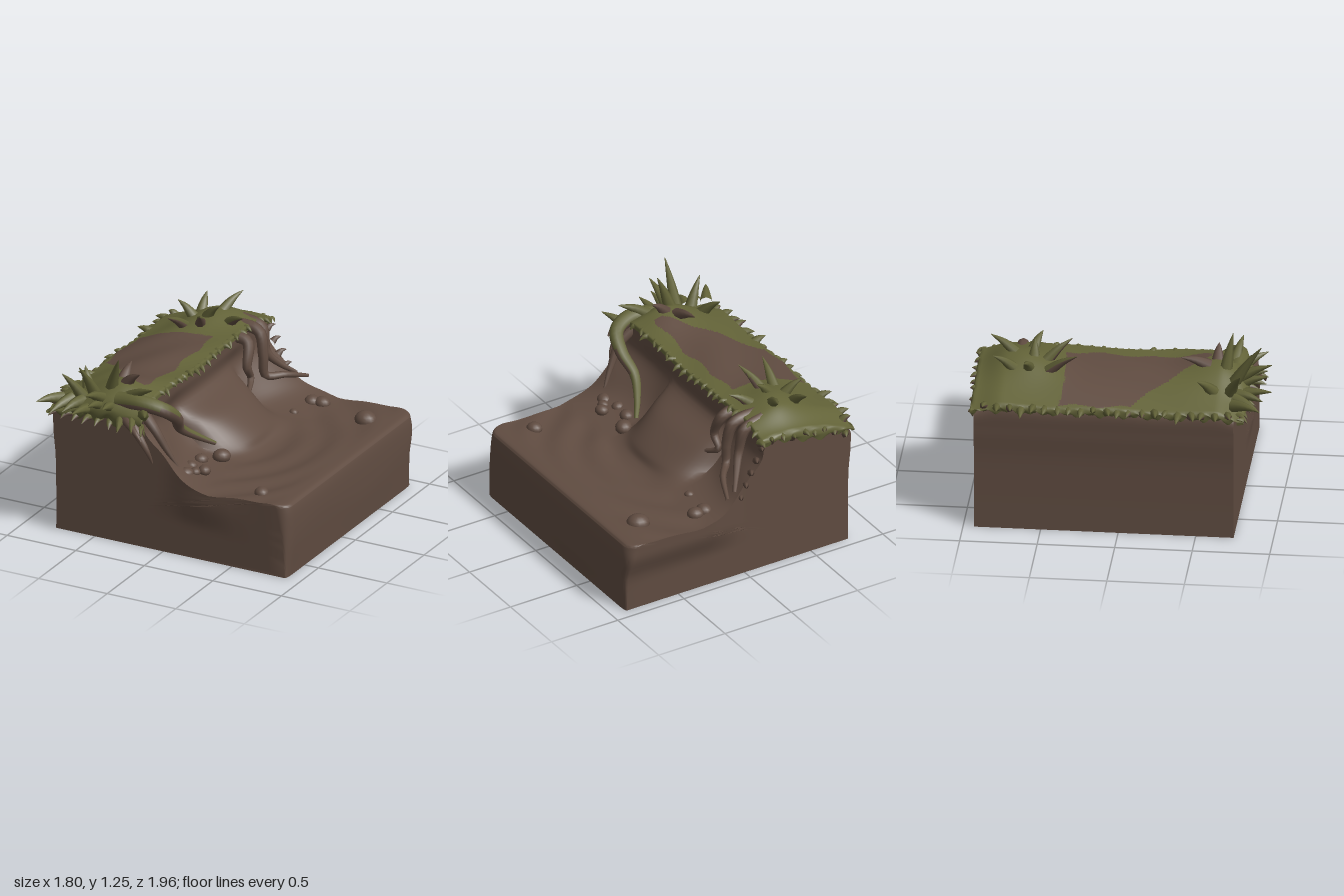
import * as THREE from 'three';
import { toCreasedNormals } from 'three/addons/utils/BufferGeometryUtils.js';

const V = (x, y, z) => new THREE.Vector3(x, y, z);
const { smoothstep, lerp, clamp } = THREE.MathUtils;

export function createModel() {
  const group = new THREE.Group();
  const material = (name, color, side = THREE.FrontSide) => {
    const m = new THREE.MeshStandardMaterial({ color, side });
    m.name = name;
    return m;
  };
  const earth = material('earth brown', 0x604c41);
  const moss = material('moss green', 0x636338);
  const earthSheet = material('earth brown sheet', 0x604c41, THREE.DoubleSide);
  const mossSheet = material('moss green sheet', 0x636338, THREE.DoubleSide);

  let seed = 7;
  const rand = () => (seed = (seed * 16807) % 2147483647) / 2147483647;
  const vary = (a, b) => a + (b - a) * rand();
  const add = (name, geo, mat) => {
    const mesh = new THREE.Mesh(geo, mat);
    mesh.name = name;
    group.add(mesh);
    return mesh;
  };

  // Height of the upper ledge: rises to the cliff, swells at both ends
  const ledge = (x, z) => {
    let y = 0.88 + 0.125 * Math.sin(clamp((x + 0.82) / 0.5, 0, 1) * Math.PI / 2);
    const swell = (cx, cz) => 0.06 * Math.exp(-((x - cx) ** 2 + (z - cz) ** 2) / 0.05);
    y += swell(-0.4, 0.6) + swell(-0.38, -0.65);
    y -= 0.05 * smoothstep(z, 0.62, 0.8) + 0.05 * smoothstep(-z, 0.75, 0.95);
    return y + 0.006 * Math.sin(x * 13 + z * 9);
  };

  // Split faces of a geometry into two material groups by a rule
  const paint = (geo, rule) => {
    const p = geo.attributes.position, src = geo.index.array, sets = [[], []];
    const a = V(), b = V(), c = V(), n = V();
    for (let i = 0; i < src.length; i += 3) {
      a.fromBufferAttribute(p, src[i]);
      b.fromBufferAttribute(p, src[i + 1]);
      c.fromBufferAttribute(p, src[i + 2]);
      n.copy(c).sub(b).cross(a.clone().sub(b)).normalize();
      sets[rule(a.add(b).add(c).divideScalar(3), n) ? 1 : 0].push(src[i], src[i + 1], src[i + 2]);
    }
    geo.setIndex([...sets[0], ...sets[1]]);
    geo.clearGroups();
    geo.addGroup(0, sets[0].length, 0);
    geo.addGroup(sets[0].length, sets[1].length, 1);
  };

  // Earth block: cross-sections in x and y lofted along z; shrinking rings close both ends
  const zBack = -0.93, zFront = 0.745, rows = 72, cols = 110, rings = 10;
  const pos = [], idx = [];
  for (let j = -rings; j <= rows + rings; j++) {
    const t = 0.5 - 0.5 * Math.cos(Math.PI * clamp(j / rows, 0, 1));
    const scale = 1 - Math.max(0, -j, j - rows) / rings;
    const z = lerp(zBack, zFront, t);
    const w = smoothstep(z, -0.9, -0.45) * (1 - smoothstep(z, 0.3, 0.72));
    const mound = Math.max(0, 1 - ((z + 0.12) / 0.38) ** 2) ** 0.6;
    const top = x => ledge(x, z) - 0.022;
    const d = Math.min(z - zBack, zFront - z), r = 0.08;
    const corner = d < r ? r - Math.sqrt(r * r - (r - d) ** 2) : 0;
    const right = 0.905 - corner;
    const wob = 0.012 * Math.sin(z * 9);
    const path = new THREE.CatmullRomCurve3([
      [-0.78, 0], [-0.78, 0.3], [-0.785, 0.52], [-0.8, 0.7], [-0.79, top(-0.79)],
      [-0.6, top(-0.6)], [-0.38, top(-0.38)], [-0.16, top(-0.16)],
      [-0.15, 0.92], [lerp(-0.13, -0.18, w) + 0.03 * mound, 0.8],
      [lerp(-0.01, -0.13, w) + wob + 0.21 * mound, 0.68], [lerp(0.12, 0, w) + wob + 0.25 * mound, 0.55],
      [0.29, 0.485], [0.55, 0.48], [right - 0.08, 0.5], [right - 0.012, 0.49], [right, 0.46],
      [right + 0.01 + corner * 0.4, 0.28 + 0.05 * Math.sin(z * 5)], [0.9 - corner * 0.15, 0]
    ].map(q => V(q[0], q[1], 0)), false, 'centripetal');
    for (let i = 0; i < cols; i++) {
      const q = path.getPoint(i / (cols - 1));
      const ripple = smoothstep(q.x, 0.27, 0.36) * smoothstep(q.y, 0.44, 0.48) * (1 - smoothstep(q.x, 0.7, 0.82));
      q.y += 0.008 * Math.sin(Math.hypot(q.x + 0.05, z + 0.1) * 26) * ripple;
      const x = lerp(-0.3, q.x, scale), y = lerp(0.25, Math.max(0, q.y), scale);
      const flare = smoothstep(x, 0, 0.25) * smoothstep(y, 0.2, 0.42);
      const dz = -0.055 * flare * smoothstep(-z, 0.6, 0.93)
        + 0.03 * flare * smoothstep(z, 0.5, 0.745) * (1 - smoothstep(x, 0.3, 0.6));
      pos.push(x, y, z + dz);
    }
  }
  for (let j = 0; j < rows + 2 * rings; j++) for (let i = 0; i < cols; i++) {
    const a = j * cols + i, b = j * cols + (i + 1) % cols, c = a + cols, e = b + cols;
    idx.push(a, c, b, b, c, e);
  }
  const block = new THREE.BufferGeometry();
  block.setAttribute('position', new THREE.Float32BufferAttribute(pos, 3));
  block.setIndex(idx);
  add('earthBlock', toCreasedNormals(block, 0.7), earth);

  // Turf sheet draped over the ledge, with a bare earth patch
  const X0 = -0.803, X1 = -0.125, Z0 = -0.942, Z1 = 0.765, hang = 0.09;
  const turf = new THREE.PlaneGeometry(1, 1, 70, 120).rotateX(-Math.PI / 2);
  const tp = turf.attributes.position;
  for (let i = 0; i < tp.count; i++) {
    const px = lerp(X0 - hang, X1 + 0.04, tp.getX(i) + 0.5);
    const pz = lerp(Z0 - hang, Z1 + hang, tp.getZ(i) + 0.5);
    const x = clamp(px, X0, X1), z = clamp(pz, Z0, Z1);
    const side = clamp(Math.max(X0 - px, Math.abs(pz - z)) / hang, 0, 1);
    const hem = 0.835 + 0.025 * Math.sin(px * 47 + pz * 61) * Math.sin(pz * 23 + 1)
      + (pz < Z0 ? 0.08 * smoothstep(x, -0.6, -0.2) : 0);
    const bulge = 0.05 * Math.sin(Math.PI * side);
    const y = lerp(ledge(x, z), hem, side) - Math.max(0, px - X1) * 0.8;
    tp.setXYZ(i, x - (px < X0 ? 0.25 * bulge : 0), y, z + Math.sign(pz - z) * bulge * (z > 0 ? 1 : 0.25));
  }
  paint(turf, ({ x, z }) => {
    const n = 0.014 * Math.sin(z * 19 + x * 7);
    const bare = x > -0.785 + n && x < -0.24 + n && z > -0.38 + n && z < Math.min(0.55, 0.05 + x + 0.79) + n;
    return !bare;
  });
  turf.computeVertexNormals();
  add('turf', turf, [earthSheet, mossSheet]);

  // Tapered limb along a curve; only upward faces are green when mossy
  const limb = (name, pts, r0, r1, kind = 'mossy', seg = 16, sides = 8) => {
    const path = new THREE.CatmullRomCurve3(pts.map(q => V(...q)));
    const geo = new THREE.TubeGeometry(path, seg, 1, sides);
    const p = geo.attributes.position, v = V();
    for (let i = 0; i < p.count; i++) {
      const t = Math.floor(i / (sides + 1)) / seg, c = path.getPointAt(t);
      v.fromBufferAttribute(p, i).sub(c).multiplyScalar(lerp(r0, r1, t ** 1.4)).add(c);
      p.setXYZ(i, v.x, v.y, v.z);
    }
    if (kind === 'mossy') paint(geo, (c, n) => n.y > 0.2);
    add(name, geo, kind === 'mossy' ? [earth, moss] : kind === 'moss' ? moss : earth);
  };
  const spike = (x, y, z, dx, dy, dz, r = 0.028, kind = 'moss') => limb('spike',
    [[x, y, z], [x + dx * 0.5, y + dy * 0.5 + 0.012, z + dz * 0.5], [x + dx, y + dy, z + dz]], r, 0.002, kind, 6, 7);

  // Fringe of spikes around the turf edge
  for (let z = -0.86; z < 0.76; z += 0.078) {
    spike(X0 + 0.03, 0.855, z, -vary(0.06, 0.12), vary(-0.03, 0.03), vary(-0.03, 0.03), 0.036, rand() < 0.25 ? 'mossy' : 'moss');
    spike(X1 - 0.02, ledge(X1, z) - 0.015, z, vary(0.03, 0.06), vary(-0.04, 0), vary(-0.03, 0.03), 0.022);
  }
  for (let x = -0.76; x < -0.12; x += 0.08)
    spike(x, ledge(x, Z0) - vary(0.02, 0.06), Z0 + 0.02, vary(-0.03, 0.03), vary(-0.02, 0.03), -vary(0.045, 0.065), 0.03, 'mossy');
  for (let y = 0.56; y < 0.95; y += 0.08)
    spike(lerp(0.02, -0.18, (y - 0.56) / 0.4), y, -0.91, 0.03, 0.02, -0.06, 0.025, 'earth');

  // Fan of thick spikes on the front end of the turf
  for (let i = 0; i < 9; i++) {
    const x = -0.74 + i * 0.073, fan = (x + 0.45) * 0.35;
    spike(x, vary(0.89, 0.95), Z1 - 0.03, fan, vary(-0.06, 0.07), vary(0.2, 0.26) - Math.abs(fan) * 0.6, 0.042);
    spike(x, 0.85, Z1, fan * 0.5, vary(-0.05, -0.02), vary(0.05, 0.1), 0.026, 'mossy');
  }
  // Front tuft: base x, z, then tip
  [[-0.5, 0.72, -0.53, 1.24, 0.9], [-0.42, 0.66, -0.35, 1.25, 0.7], [-0.6, 0.7, -0.72, 1.11, 0.78],
    [-0.35, 0.6, -0.25, 1.13, 0.6], [-0.28, 0.7, -0.08, 1.11, 0.74], [-0.62, 0.6, -0.7, 1.06, 0.5],
    [-0.45, 0.74, -0.45, 1.08, 0.96], [-0.4, 0.55, -0.43, 1.1, 0.37]
  ].forEach(([x, z, tx, ty, tz], i) => {
    const y = ledge(x, z) - 0.02;
    spike(x, y, z, tx - x, ty - y, tz - z, 0.042, i === 7 || i === 3 ? 'earth' : 'moss');
  });
  // Back tuft
  [[-0.35, -0.7, -0.29, 1.14, -0.87], [-0.5, -0.7, -0.53, 1.1, -0.83], [-0.5, -0.6, -0.63, 1.1, -0.62],
    [-0.4, -0.58, -0.31, 1.13, -0.58], [-0.5, -0.48, -0.53, 1.12, -0.29],
    [-0.4, -0.5, -0.32, 1.15, -0.34], [-0.25, -0.6, -0.12, 1.1, -0.55]
  ].forEach(([x, z, tx, ty, tz], i) => {
    const y = ledge(x, z) - 0.02;
    spike(x, y, z, tx - x, ty - y, tz - z, 0.038, i > 3 ? 'mossy' : 'moss');
  });

  // Large arching root at the front
  limb('frontRoot', [[-0.34, 0.98, 0.72], [-0.16, 1.0, 0.73], [-0.03, 0.96, 0.68], [0, 0.87, 0.57],
    [-0.03, 0.75, 0.46], [0.03, 0.65, 0.33], [0.1, 0.58, 0.23]], 0.058, 0.014, 'mossy', 32, 10);
  // Smaller roots clawing down the front cliff
  [[[-0.28, 0.92, 0.74], [-0.16, 0.84, 0.82], [-0.08, 0.72, 0.82], [-0.06, 0.62, 0.78]],
    [[-0.2, 0.95, 0.7], [-0.08, 0.84, 0.72], [0, 0.7, 0.7], [0.08, 0.55, 0.66]],
    [[-0.3, 0.9, 0.74], [-0.2, 0.88, 0.83], [-0.12, 0.84, 0.88], [-0.09, 0.8, 0.88]]
  ].forEach(p => limb('frontSmallRoot', p, 0.04, 0.006, 'earth'));
  // Hanging roots at the back
  [[[-0.22, 0.98, -0.53], [-0.08, 0.95, -0.54], [-0.05, 0.8, -0.48], [-0.05, 0.71, -0.53], [0.0, 0.64, -0.4]],
    [[-0.24, 1.0, -0.68], [-0.07, 0.97, -0.68], [-0.03, 0.82, -0.66], [-0.02, 0.68, -0.67], [0.07, 0.66, -0.78], [0.14, 0.6, -0.95]],
    [[-0.24, 1.0, -0.76], [-0.1, 0.96, -0.77], [-0.06, 0.8, -0.76], [0.0, 0.7, -0.83], [0.07, 0.62, -0.92]]
  ].forEach(p => limb('backRoot', p, 0.042, 0.012, 'earth', 26));

  // Loose rocks: x, z, radius
  [[0.68, -0.73, 0.07], [0.31, -0.83, 0.05], [0.24, -0.82, 0.05], [0.22, -0.61, 0.03], [0.17, 0.27, 0.055],
    [0.08, 0.38, 0.045], [0.18, 0.52, 0.042], [0.1, 0.62, 0.048], [0.07, 0.5, 0.04], [0.14, 0.57, 0.035],
    [0.64, 0.6, 0.048]
  ].forEach(([x, z, r]) => {
    const rock = add('rock', new THREE.SphereGeometry(r, 14, 10), earth);
    rock.position.set(x, x < 0.2 ? 0.52 : 0.49, z);
    rock.scale.set(1, 0.85, 1.1);
    rock.rotation.y = vary(0, 3);
  });
  return group;
}
